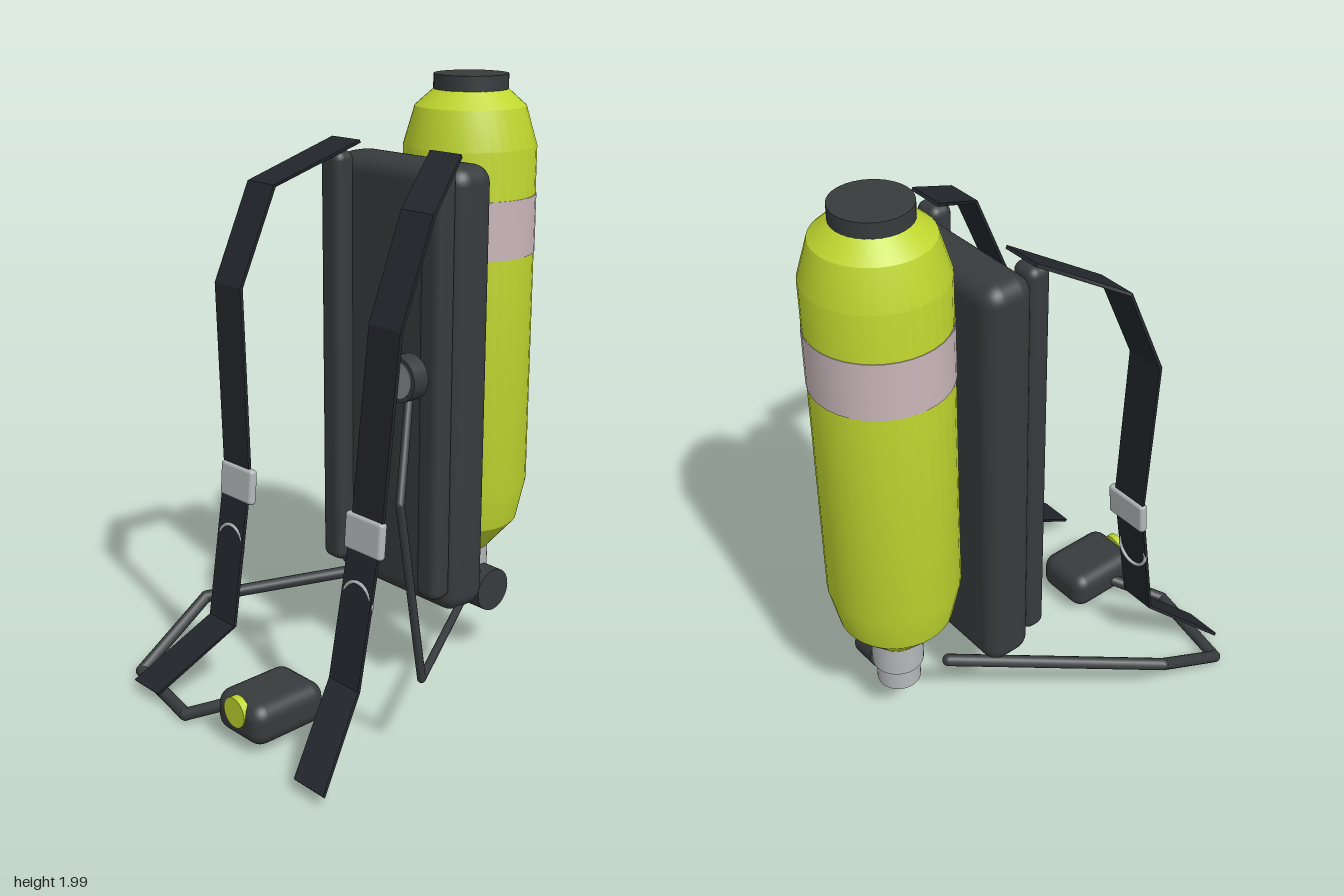
import * as THREE from 'three';
import { RoundedBoxGeometry } from 'three/addons/geometries/RoundedBoxGeometry.js';
import { toCreasedNormals } from 'three/addons/utils/BufferGeometryUtils.js';

const mat = (color) => new THREE.MeshStandardMaterial({ color });
const V = (x, y, z) => new THREE.Vector3(x, y, z);

export function createModel() {
  const model = new THREE.Group();
  const yellow = mat(0xbfd62f), dark = mat(0x373b3d), webbing = mat(0x23272c);
  const metal = mat(0xb4b8ba), bandPink = mat(0xc9b6b9);
  const midZ = 0.025; // mirror plane of the harness

  function add(name, geometry, material, x = 0, y = 0, z = 0, parent = model) {
    const mesh = new THREE.Mesh(geometry, material);
    mesh.name = name;
    mesh.position.set(x, y, z);
    parent.add(mesh);
    return mesh;
  }
  const cylinder = (r, h, n = 32) => new THREE.CylinderGeometry(r, r, h, n);

  // Hose with sharp bends: straight pipes joined by spheres
  function hose(name, points, r) {
    const group = new THREE.Group();
    group.name = name;
    model.add(group);
    points.forEach((p, i) => {
      add('hoseJoint', new THREE.SphereGeometry(r, 12, 8), dark, p.x, p.y, p.z, group);
      if (i === 0) return;
      const dir = p.clone().sub(points[i - 1]);
      const mid = p.clone().add(points[i - 1]).multiplyScalar(0.5);
      const pipe = add('hosePipe', cylinder(r, dir.length(), 12), dark, mid.x, mid.y, mid.z, group);
      pipe.quaternion.setFromUnitVectors(V(0, 1, 0), dir.normalize());
    });
  }

  // Flat strap: each row of a segmented box is moved to a point of the path
  function strapGeometry(path, side, width, thick) {
    const n = path.length - 1;
    const geo = new THREE.BoxGeometry(1, 1, 1, 1, n, 1);
    const pos = geo.attributes.position;
    for (let i = 0; i < pos.count; i++) {
      const row = Math.round((0.5 - pos.getY(i)) * n);
      const a = path[Math.max(row - 1, 0)], b = path[Math.min(row + 1, n)];
      const len = Math.hypot(b[0] - a[0], b[1] - a[1]);
      const off = pos.getX(i) * thick;
      const [x, y, dz] = path[row];
      pos.setXYZ(i,
        x - (b[1] - a[1]) / len * off,
        y + (b[0] - a[0]) / len * off,
        midZ + side * dz + pos.getZ(i) * width);
    }
    return toCreasedNormals(geo, 0.1);
  }

  // Cylinder, cap, label band and valve
  const tx = 0.432, tz = 0.022;
  const profile = [[0, 0.38], [0.088, 0.38], [0.187, 0.495], [0.217, 0.635],
    [0.217, 1.775], [0.18, 1.9], [0.112, 1.96], [0, 1.96]].map(([r, y]) => new THREE.Vector2(r, y));
  add('tank', toCreasedNormals(new THREE.LatheGeometry(profile, 36), 0.3), yellow, tx, 0, tz);
  add('tankCap', cylinder(0.121, 0.05), dark, tx, 1.975, tz);
  add('tankBand', cylinder(0.2195, 0.19, 36), bandPink, tx, 1.525, tz);
  add('valveNeck', cylinder(0.087, 0.12), metal, tx, 0.325, tz + 0.005);
  add('valveBody', cylinder(0.074, 0.1), metal, tx, 0.23, tz + 0.005);
  add('valveKnob', cylinder(0.075, 0.09), dark, 0.43, 0.25, 0.133).rotation.x = Math.PI / 2;

  // Back plate with two long pads
  add('backPlate', new RoundedBoxGeometry(0.17, 1.455, 0.57, 4, 0.058), dark, 0.165, 1.033, midZ);

  // Harness, one half per side
  const path = [[0.09, 1.8, 0.22], [-0.155, 1.67, 0.35], [-0.29, 1.36, 0.36],
    [-0.313, 0.75, 0.31], [-0.4, 0.25, 0.3], [-0.64, 0.045, 0.41]];
  for (const side of [-1, 1]) {
    const harness = new THREE.Group();
    harness.name = side > 0 ? 'harnessFrontSide' : 'harnessBackSide';
    model.add(harness);
    add('backPad', new RoundedBoxGeometry(0.08, 1.4, 0.095, 3, 0.03), dark,
      0.055, 1.07, midZ + side * 0.225, harness);
    add('shoulderStrap', strapGeometry(path, side, 0.13, 0.011), webbing, 0, 0, 0, harness);
    const buckle = add('buckle', new RoundedBoxGeometry(0.03, 0.118, 0.16, 3, 0.012), metal,
      -0.316, 0.717, midZ + side * 0.303, harness);
    buckle.rotation.z = -0.08;
    const ring = add('strapRing', new THREE.TorusGeometry(0.06, 0.006, 8, 28), metal,
      -0.35, 0.515, midZ + side * 0.306, harness);
    ring.rotation.set(0, Math.PI / 2, 0);
  }

  // Pressure gauge and its thin hose
  add('gauge', cylinder(0.068, 0.055), dark, -0.258, 1.217, 0.43).rotation.z = Math.PI / 2;
  add('gaugeFace', cylinder(0.055, 0.006), mat(0x85898b), -0.285, 1.217, 0.43).rotation.z = Math.PI / 2;
  hose('gaugeHose', [V(-0.235, 1.15, 0.425), V(-0.375, 0.89, 0.535),
    V(-0.255, 0.29, 0.51), V(0.36, 0.338, 0.165)], 0.013);

  // Breathing regulator and its thick hose
  add('regulator', new RoundedBoxGeometry(0.285, 0.14, 0.22, 4, 0.05), dark, -0.478, 0.105, 0.065);
  add('regulatorButton', cylinder(0.05, 0.026, 24), yellow, -0.612, 0.133, 0.065).rotation.z = Math.PI / 2;
  hose('regulatorHose', [V(0.33, 0.295, -0.12), V(-0.275, 0.205, -0.535), V(-0.57, 0.03, -0.515),
    V(-0.635, 0.03, -0.178), V(-0.49, 0.105, -0.01)], 0.021);

  return model;
}
